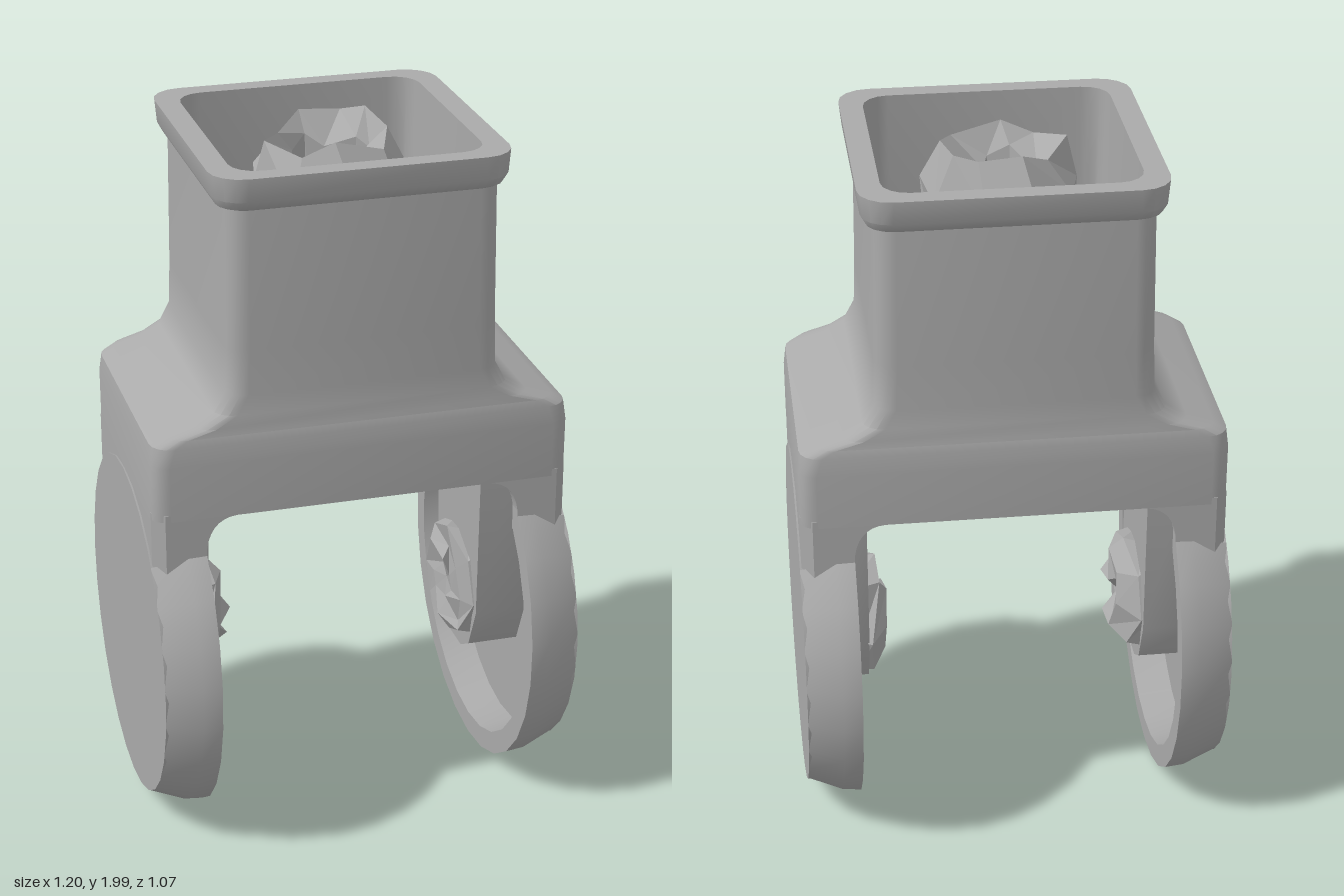
import * as THREE from 'three';
import { toCreasedNormals } from 'three/addons/utils/BufferGeometryUtils.js';

const grey = new THREE.MeshStandardMaterial({ color: 0xaaaaaa, side: THREE.DoubleSide });
grey.name = 'grey plastic';

function part(name, geometry, crease = 0.6) {
  const mesh = new THREE.Mesh(toCreasedNormals(geometry, crease), grey);
  mesh.name = name;
  return mesh;
}

const V = (list) => list.map(([x, y]) => new THREE.Vector2(x, y));
const polygon = (list) => new THREE.Shape(V(list));
const extrude = (shape, depth) =>
  new THREE.ExtrudeGeometry(shape, { depth, bevelEnabled: false, curveSegments: 8 });
// Lay an extruded shape flat so that it rises from height y
const flat = (shape, depth, y) => extrude(shape, depth).rotateX(-Math.PI / 2).translate(0, y, 0);

// Loft rounded rectangles [y, half width, half depth, corner radius] into a closed shell
function loft(rings) {
  const steps = 5, n = steps * 4, pos = [], index = [];
  for (const [y, hx, hz, r] of rings) {
    for (let c = 0; c < 4; c++) {
      const sx = c === 0 || c === 3 ? 1 : -1, sz = c < 2 ? 1 : -1;
      for (let i = 0; i < steps; i++) {
        const a = (c + i / (steps - 1)) * Math.PI / 2;
        pos.push(sx * (hx - r) + r * Math.cos(a), y, sz * (hz - r) + r * Math.sin(a));
      }
    }
  }
  for (let k = 0; k < rings.length; k++) {
    const a = k * n, b = ((k + 1) % rings.length) * n;
    for (let i = 0; i < n; i++) {
      const j = (i + 1) % n;
      index.push(a + i, b + i, a + j, a + j, b + i, b + j);
    }
  }
  const g = new THREE.BufferGeometry();
  g.setAttribute('position', new THREE.Float32BufferAttribute(pos, 3));
  g.setIndex(index);
  return g;
}

// Crumple a geometry by a repeatable rule of position
function crumple(g, amount) {
  const p = g.attributes.position;
  for (let i = 0; i < p.count; i++) {
    const v = [p.getX(i), p.getY(i), p.getZ(i)].map((c) => Math.round(c * 1000) / 1000);
    const noise = (s) => amount * Math.sin(v[0] * 71 * s + v[1] * 43 + v[2] * 97 + s * 5);
    p.setXYZ(i, v[0] + noise(1), v[1] + noise(1.7), v[2] + noise(2.3));
  }
  return g;
}

// One arm on the +x side, from the shoulder down to the dish
function createArm(name, reach) {
  const arm = new THREE.Group();
  arm.name = name;
  const cy = 0.53;

  const lathe = (points, segments, start, length) =>
    new THREE.LatheGeometry(V(points), segments, start, length)
      .rotateZ(-Math.PI / 2).translate(0, cy, 0);

  // Round outer face and the rim, which opens into the shoulder
  arm.add(part('dishFace', lathe([[0, 0.55], [0.485, 0.55], [0.492, 0.598], [0, 0.598]], 28)));
  arm.add(part('dishRim', lathe(
    [[0.455, 0.56], [0.47, 0.447], [0.535, 0.447], [0.53, 0.5], [0.49, 0.598]],
    20, Math.PI * 1.75, Math.PI * 1.5)));

  // Channel joining the dish to the shoulder
  arm.add(part('armChannel', flat(polygon([
    [0.447, 0.375], [0.56, 0.375], [0.593, 0.34], [0.593, -0.34], [0.56, -0.375], [0.447, -0.375],
    [0.447, -0.335], [0.55, -0.335], [0.55, 0.335], [0.447, 0.335],
  ]), 0.19, 0.85)));

  // Curved corners of the arch
  const fillet = new THREE.Shape();
  fillet.moveTo(0.36, 1.03);
  fillet.lineTo(0.36, 1.02);
  fillet.quadraticCurveTo(0.445, 1.015, 0.449, 0.9);
  fillet.lineTo(0.46, 0.9);
  fillet.lineTo(0.46, 1.03);
  for (const z of [0.335, -0.375]) {
    arm.add(part('archCorner', extrude(fillet, 0.04).translate(0, 0, z)));
  }

  // Inner bracket strip with a rough motor on it
  arm.add(part('bracketStrip', extrude(polygon([
    [-0.2, 1.2], [-0.18, 0.5], [-0.12, 0.37], [-0.05, 0.33],
    [0.05, 0.33], [0.12, 0.37], [0.18, 0.5], [0.2, 1.2],
  ]), 0.15).rotateY(Math.PI / 2).translate(0.4, 0, 0)));
  const motor = lathe([[0, reach + 0.05], [0.06, reach + 0.02], [0.12, reach + 0.02],
    [0.17, 0.38], [0.18, 0.44]], 8);
  arm.add(part('motor', crumple(motor, 0.02), 0.01));
  return arm;
}

export function createModel() {
  const model = new THREE.Group();
  model.name = 'forkBracket';

  // Hollow shoulder, neck and flared collar
  model.add(part('body', loft([
    [1.02, 0.594, 0.375, 0.05], [1.18, 0.594, 0.377, 0.05], [1.235, 0.588, 0.377, 0.06],
    [1.258, 0.55, 0.376, 0.06], [1.28, 0.475, 0.376, 0.06], [1.315, 0.415, 0.376, 0.06],
    [1.37, 0.385, 0.377, 0.06], [1.5, 0.38, 0.378, 0.06], [1.89, 0.376, 0.376, 0.06],
    [1.895, 0.392, 0.385, 0.07], [1.92, 0.405, 0.4, 0.08], [1.985, 0.412, 0.405, 0.09],
    [1.985, 0.347, 0.347, 0.075], [1.3, 0.345, 0.345, 0.075],
    [1.21, 0.55, 0.335, 0.04], [1.02, 0.55, 0.335, 0.04],
  ])));

  // Irregular ledge inside the neck
  const ledge = polygon([[-0.355, -0.355], [0.355, -0.355], [0.355, 0.355], [-0.355, 0.355]]);
  ledge.holes.push(new THREE.Path(V([
    [-0.1, 0.335], [0.02, 0.342], [0.18, 0.3], [0.34, 0.18], [0.34, -0.15],
    [0.23, -0.26], [0.02, -0.342], [-0.27, -0.25], [-0.29, -0.03],
  ])));
  model.add(part('innerLedge', flat(ledge, 0.02, 1.31)));

  // Cross plate of the inner bracket
  const plate = polygon([[-0.5, -0.23], [0.5, -0.23], [0.5, 0.23], [-0.5, 0.23]]);
  plate.holes.push(new THREE.Path().absarc(0.03, 0, 0.13, 0, Math.PI * 2, true));
  model.add(part('crossPlate', flat(plate, 0.04, 1.17)));

  // Rough hollow core in the neck
  const core = new THREE.LatheGeometry(V([
    [0.1, 1.2], [0.18, 1.2], [0.19, 1.55], [0.24, 1.84], [0.17, 1.96], [0.1, 1.9], [0.1, 1.2],
  ]), 9);
  model.add(part('neckCore', crumple(core, 0.025), 0.01));

  // Arms, mirrored by a half turn
  model.add(createArm('leftArm', 0.34));
  const rightArm = createArm('rightArm', 0.31);
  rightArm.rotation.y = Math.PI;
  model.add(rightArm);
  return model;
}
